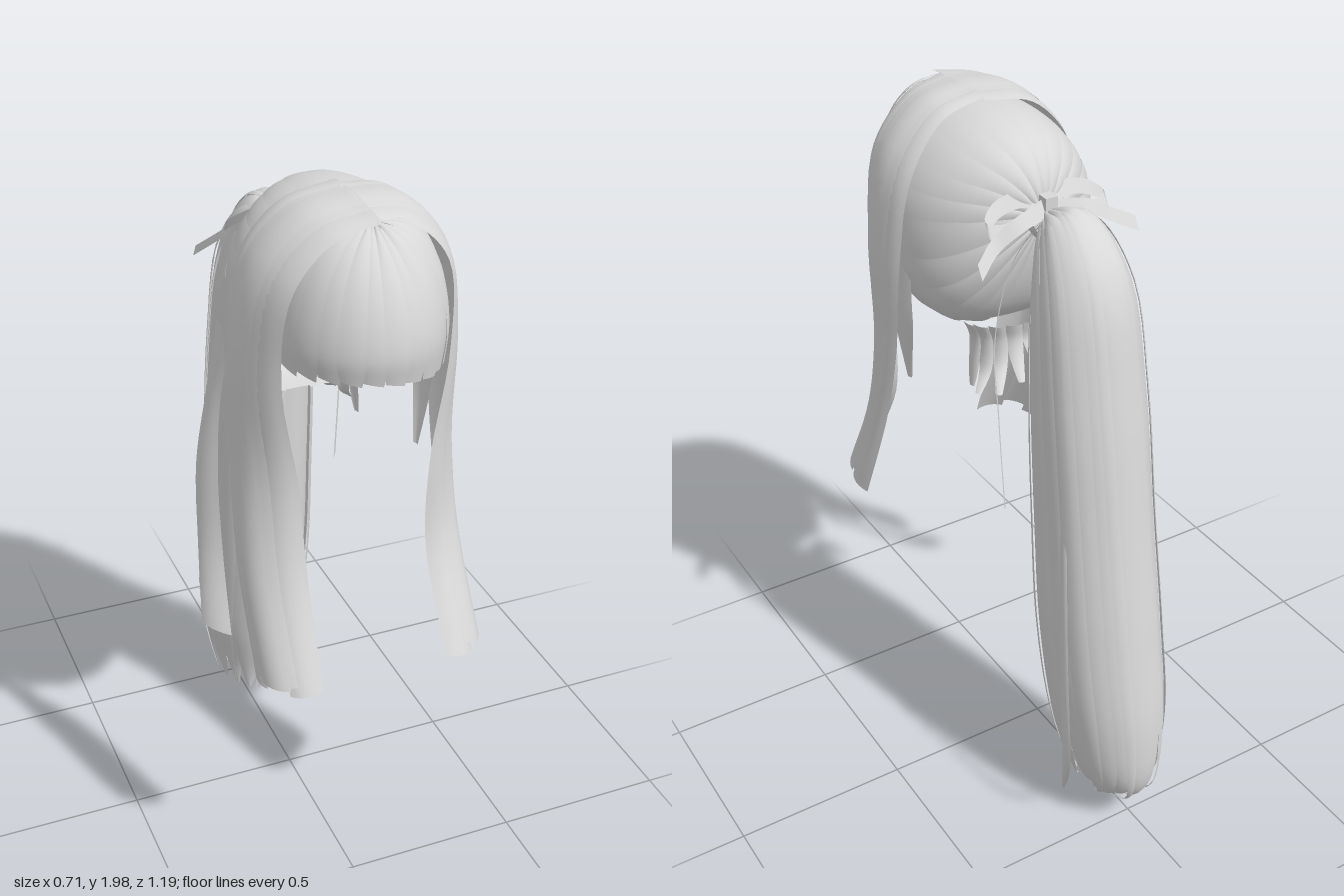
import * as THREE from 'three';

const hair = new THREE.MeshStandardMaterial({ color: 0xd8d8d8, side: THREE.DoubleSide });
hair.name = 'pale grey';

const V = (p) => new THREE.Vector3(...p);
const headCentre = (p) => new THREE.Vector3(0.035, Math.min(p.y, 1.6), 0.25);
const tailCentre = (p) => new THREE.Vector3(0.02, Math.min(p.y, 1.6), -0.33);
const wobble = (i) => Math.sin(i * 12.9898) * 0.5 + 0.5;

// Ribbon of hair between two edge paths, bulged away from a centre and narrowed at the tip;
// flare rounds the whole width more and more towards the end
function sheet(name, a, b, o = {}) {
  const { centre = headCentre, bulge = 0.01, lift = 0, flare = 0, u0 = 0, u1 = 1, t1 = 1, taper = 1, tip = 0.1, nu = 6, nt = 24 } = o;
  const ca = new THREE.CatmullRomCurve3(a.map(V)), cb = new THREE.CatmullRomCurve3(b.map(V));
  const pos = [], idx = [];
  for (let j = 0; j <= nt; j++) {
    const s = j / nt, pa = ca.getPoint(s * t1), pb = cb.getPoint(s * t1);
    const k = s > taper ? 1 - (1 - tip) * ((s - taper) / (1 - taper)) ** 1.5 : 1;
    for (let i = 0; i <= nu; i++) {
      const v = i / nu;
      const u = (u0 + u1) / 2 + (v - 0.5) * (u1 - u0) * k;
      const p = pa.clone().lerp(pb, u);
      const out = p.clone().sub(centre(p)).normalize();
      p.addScaledVector(out, lift + bulge * 4 * v * (1 - v) * k + flare * s * 4 * u * (1 - u));
      pos.push(p.x, p.y, p.z);
      if (i < nu && j < nt) {
        const q = j * (nu + 1) + i;
        idx.push(q, q + nu + 1, q + 1, q + 1, q + nu + 1, q + nu + 2);
      }
    }
  }
  const g = new THREE.BufferGeometry();
  g.setAttribute('position', new THREE.Float32BufferAttribute(pos, 3));
  g.setIndex(idx);
  g.computeVertexNormals();
  const m = new THREE.Mesh(g, hair);
  m.name = name;
  return m;
}

// Swept-back cap: strands running from the rim of the head to the tie, squarer at the nape
function capPath(a, scale) {
  const pts = [], sin = Math.sin(a), cos = Math.cos(a), low = Math.max(0, -sin);
  const pMax = THREE.MathUtils.degToRad(sin < 0 ? 94 + 8 * sin : 94 + 19 * sin);
  const sa = Math.sign(sin) * Math.abs(sin) ** (sin < 0 ? 0.65 : 1);
  const ca = Math.sign(cos) * Math.abs(cos) ** (1 - 0.35 * low);
  for (let k = 0; k <= 8; k++) {
    const p = 0.06 + (pMax - 0.06) * k / 8, s = Math.sin(p) * scale, c = Math.cos(p);
    const depth = Math.sign(c) * Math.abs(c) ** (1 - 0.4 * low);
    pts.push([0.04 + 0.272 * s * ca, 1.69 + 0.08 * c * c + 0.29 * s * sa, 0.2 - 0.293 * depth * scale]);
  }
  return pts;
}
function makeCap() {
  const g = new THREE.Group(), n = 22;
  g.name = 'headCap';
  for (let i = 0; i < n; i++) {
    const a = i / n * Math.PI * 2, d = Math.PI / n * (1.15 + 0.2 * wobble(i)), s = 1 - 0.02 * wobble(i * 2 + 1);
    g.add(sheet('capStrand', capPath(a - d, s), capPath(a + d, s), { bulge: 0.006 }));
  }
  return g;
}

// Fringe: strands fanning from the parting down to the brow, rounder at the temples
function fringePath(phi, drop) {
  const prof = [[0, 1.968], [0.15, 1.955], [0.42, 1.915], [0.7, 1.85], [0.9, 1.77], [0.98, 1.69], [0.92, drop]];
  const x = 0.035 + 0.22 * Math.sin(phi), z = 0.34 + 0.255 * Math.cos(phi), e = 1 - 0.6 * Math.sin(phi) ** 2;
  return prof.map(([r, y]) => [0.035 + (x - 0.035) * r ** e, y, 0.425 + (z - 0.425) * r ** e]);
}
function makeFringe() {
  const g = new THREE.Group(), n = 11, step = 2.8 / n;
  g.name = 'fringe';
  for (let i = 0; i < n; i++) {
    const p = -1.4 + i * step, y = 1.59 + 0.03 * wobble(i + 1);
    g.add(sheet('fringeStrand', fringePath(p - 0.03, y + 0.015), fringePath(p + step + 0.03, y),
      { bulge: 0.004, lift: 0.004 * (i % 2), taper: 0.85, tip: 0.75 }));
  }
  return g;
}

// Long side lock: overlapping strands across a wide ribbon that curls round at the end
function makeLock(name, a, b) {
  const g = new THREE.Group();
  g.name = name;
  [[0, 1, 0.985, 0, 0.012], [0, 0.4, 1, 0.002, 0.007], [0.34, 0.72, 0.99, 0.01, 0.004], [0.66, 1, 1, 0.001, 0.007]].forEach(([u0, u1, t1, lift, bulge]) =>
    g.add(sheet('lockStrand', a, b, { u0, u1, t1, lift, bulge, flare: 0.065, taper: 0.85, tip: 0.93, nt: 36 })));
  return g;
}

// Ponytail outline: inner z, inner y, outer z, outer y, half width, middle x
const TAIL = [
  [-0.11, 1.74, -0.13, 1.80, 0.03, 0.03], [-0.12, 1.66, -0.22, 1.825, 0.085, 0.02], [-0.125, 1.5, -0.35, 1.715, 0.13, 0.02],
  [-0.13, 1.25, -0.43, 1.4, 0.15, 0.02], [-0.135, 0.95, -0.495, 1.0, 0.155, 0.02], [-0.155, 0.65, -0.555, 0.65, 0.16, 0.02],
  [-0.195, 0.37, -0.595, 0.36, 0.15, 0.015], [-0.225, 0.2, -0.575, 0.15, 0.115, 0.01], [-0.24, 0.1, -0.42, 0.01, 0.07, -0.01]];
const tailPath = (a, s, sx = s) => TAIL.map(([zi, yi, zo, yo, w, cx]) => {
  const c = Math.cos(a) * s / 2;
  return [cx + w * sx * Math.sin(a), (yi + yo) / 2 + c * (yo - yi), (zi + zo) / 2 + c * (zo - zi)];
});
function makePonytail() {
  const g = new THREE.Group(), n = 14;
  g.name = 'ponytail';
  for (let i = 0; i < n; i++) {
    const a = i / n * Math.PI * 2, d = Math.PI / n * (1.3 + 0.5 * wobble(i + 7)), s = i % 2 ? 0.91 : 0.98;
    g.add(sheet('tailStrand', tailPath(a - d, s), tailPath(a + d, s),
      { centre: tailCentre, bulge: 0.012, t1: 0.93 + 0.07 * wobble(i), taper: 0.8, tip: 0.15, nt: 40 }));
  }
  // Loose thin strands over the surface
  for (let i = 0; i < 10; i++) {
    const a = 0.3 + i * 0.62, s = 1.0, sx = 1.0 + 0.06 * wobble(i + 5);
    g.add(sheet('looseStrand', tailPath(a - 0.1, s, sx), tailPath(a + 0.1, s, sx),
      { centre: tailCentre, bulge: 0.004, t1: 0.94 + 0.06 * wobble(i + 3), taper: 0.7, nu: 2, nt: 40 }));
  }
  // Flyaway wisp on the left side near the tips
  g.add(sheet('wisp', [[0.155, 1.0, -0.36], [0.19, 0.6, -0.42], [0.205, 0.3, -0.46], [0.18, 0.14, -0.42]],
    [[0.155, 1.0, -0.39], [0.19, 0.6, -0.46], [0.205, 0.32, -0.5], [0.17, 0.13, -0.43]], { centre: tailCentre, bulge: 0.005 }));
  return g;
}

// Ribbon bow around the tie
function makeBow() {
  const g = new THREE.Group();
  g.name = 'bow';
  const ring = new THREE.Mesh(new THREE.CylinderGeometry(0.05, 0.05, 0.035, 20, 1, true), hair);
  ring.name = 'tieRing';
  ring.position.set(0.035, 1.765, -0.1);
  ring.rotation.x = Math.PI / 2 + 0.4;
  const knot = new THREE.Mesh(new THREE.BoxGeometry(0.034, 0.035, 0.05), hair);
  knot.name = 'bowKnot';
  knot.position.set(0.035, 1.815, -0.098);
  g.add(ring, knot);
  for (const s of [-1, 1]) {
    const shift = (pts, d) => pts.map(([x, y, z]) => [0.035 + s * x, y + d, z + d * 0.6]);
    const loop = [[0, 1.81, -0.095], [0.07, 1.825, -0.075], [0.14, 1.81, -0.08], [0.175, 1.78, -0.105], [0.13, 1.77, -0.12], [0.06, 1.79, -0.115], [0, 1.81, -0.11]];
    g.add(sheet('bowLoop', shift(loop, 0.018), shift(loop, -0.018), { bulge: 0, nu: 1 }));
    const end = [[0, 1.8, -0.11], [0.1, 1.79, -0.135], [0.17, 1.75, -0.135], [s > 0 ? 0.235 : 0.245, 1.71, s > 0 ? -0.17 : -0.145]];
    g.add(sheet('bowEnd', shift(end, 0.018), shift(end, -0.018), { bulge: 0, nu: 1 }));
    const x = s > 0 ? 0.17 : 0.14;
    const hang = [[0.01, 1.78, -0.12], [0.1, 1.7, -0.12], [x, 1.5, -0.13], [x, 1.25, -0.14], [x, 0.98, -0.165]];
    g.add(sheet('bowTail', shift(hang, 0), hang.map(([hx, y, z]) => [0.035 + s * (hx + 0.012), y + 0.01, z - 0.015]), { bulge: 0, nu: 1 }));
  }
  return g;
}

// Short separate curls below the nape
function makeNape() {
  const g = new THREE.Group();
  g.name = 'napeCurls';
  for (let i = 0; i < 9; i++) {
    const a = -1.35 + i * 0.3375, x = 0.035 + 0.15 * Math.sin(a), z = 0.075 - 0.1 * Math.cos(a);
    const dx = Math.sin(a), dz = -Math.cos(a), y = 1.26 + 0.08 * wobble(i + 2), k = 0.07 * (wobble(i * 3) - 0.2);
    const path = (w) => [[x + w * dz, 1.44, z - w * dx], [x - 0.02 * dx + w * dz, 1.39, z - 0.01 * dz - w * dx],
      [x - 0.01 * dx + w * dz, y + 0.03, z + 0.01 * dz - w * dx], [x + k * dx + w * dz, y - 0.015, z + (k + 0.03) * dz - w * dx]];
    g.add(sheet('napeCurl', path(-0.022), path(0.022), { bulge: 0.008, taper: 0.4, tip: 0.4, nt: 12 }));
  }
  return g;
}

export function createModel() {
  const g = new THREE.Group();
  g.name = 'ponytailHair';
  g.add(makeCap(), makeFringe(), makePonytail(), makeBow(), makeNape());
  g.add(makeLock('rightLock',
    [[0.045, 1.975, 0.46], [-0.08, 1.94, 0.46], [-0.175, 1.83, 0.46], [-0.195, 1.6, 0.44], [-0.15, 1.3, 0.44], [-0.14, 1.05, 0.48], [-0.135, 0.77, 0.585]],
    [[0.045, 1.985, 0.18], [-0.1, 1.95, 0.18], [-0.205, 1.83, 0.18], [-0.242, 1.6, 0.19], [-0.255, 1.3, 0.24], [-0.265, 1.05, 0.31], [-0.265, 0.76, 0.43]]));
  g.add(makeLock('leftLock',
    [[0.035, 1.975, 0.43], [0.15, 1.94, 0.42], [0.25, 1.83, 0.41], [0.26, 1.6, 0.42], [0.215, 1.3, 0.43], [0.205, 1.05, 0.45], [0.205, 0.79, 0.59]],
    [[0.035, 1.985, 0.2], [0.17, 1.955, 0.18], [0.275, 1.83, 0.16], [0.315, 1.6, 0.17], [0.31, 1.3, 0.23], [0.31, 1.05, 0.31], [0.34, 0.735, 0.41]]));
  // Shorter strands behind the locks
  g.add(sheet('rightOuterStrand',
    [[-0.21, 1.6, 0.14], [-0.24, 1.4, 0.12], [-0.265, 1.2, 0.16], [-0.28, 1.0, 0.23], [-0.3, 0.82, 0.34]],
    [[-0.22, 1.6, 0.05], [-0.255, 1.4, 0.05], [-0.295, 1.2, 0.07], [-0.32, 1.0, 0.14], [-0.352, 0.82, 0.25]], { bulge: 0.01 }));
  g.add(sheet('leftBackStrand',
    [[0.285, 1.75, 0.22], [0.3, 1.55, 0.24], [0.3, 1.4, 0.25], [0.285, 1.22, 0.25]],
    [[0.285, 1.75, 0.13], [0.295, 1.55, 0.15], [0.29, 1.4, 0.16], [0.27, 1.22, 0.19]], { bulge: 0.01, taper: 0.6, tip: 0.3 }));
  g.add(sheet('rightBackStrand',
    [[-0.225, 1.75, 0.22], [-0.23, 1.55, 0.26], [-0.2, 1.4, 0.26], [-0.16, 1.22, 0.25]],
    [[-0.225, 1.75, 0.13], [-0.235, 1.55, 0.15], [-0.21, 1.4, 0.17], [-0.17, 1.22, 0.19]], { bulge: 0.01, taper: 0.6, tip: 0.3 }));
  return g;
}
